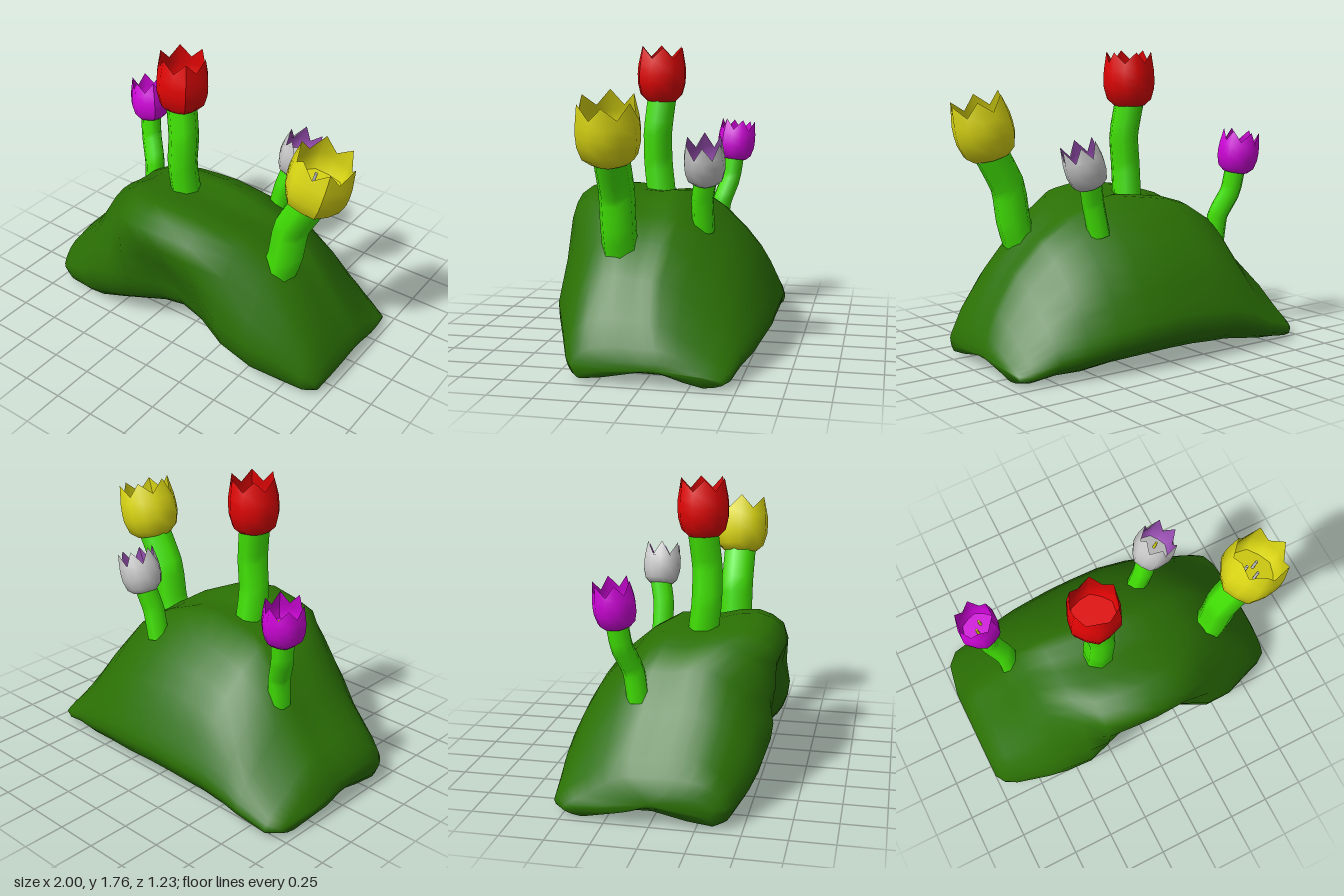
import * as THREE from 'three';

const mat = (name, color, side = THREE.FrontSide) => {
  const m = new THREE.MeshStandardMaterial({ color, side });
  m.name = name;
  return m;
};

function add(parent, name, geometry, material) {
  const mesh = new THREE.Mesh(geometry, material);
  mesh.name = name;
  parent.add(mesh);
  return mesh;
}

// Mound: cross-sections along x, each described by a few depths and heights
function moundGeometry() {
  // x, top, bottom, front z (low, middle, upper), back z (upper, low)
  const sections = [
    [-1.0, 0.19, 0.07, 0.27, 0.35, 0.28, -0.05, -0.27],
    [-0.96, 0.27, 0.01, 0.34, 0.41, 0.32, -0.16, -0.49],
    [-0.89, 0.36, 0.0, 0.38, 0.45, 0.34, -0.18, -0.56],
    [-0.70, 0.56, 0.02, 0.40, 0.52, 0.37, -0.16, -0.58],
    [-0.58, 0.76, 0.04, 0.41, 0.56, 0.39, -0.14, -0.59],
    [-0.42, 0.87, 0.065, 0.36, 0.59, 0.48, -0.11, -0.60],
    [-0.30, 0.91, 0.07, 0.31, 0.56, 0.57, -0.09, -0.605],
    [-0.16, 0.93, 0.08, 0.28, 0.48, 0.60, -0.07, -0.61],
    [0.00, 0.95, 0.08, 0.26, 0.47, 0.615, -0.05, -0.61],
    [0.20, 0.92, 0.075, 0.28, 0.52, 0.59, -0.06, -0.61],
    [0.40, 0.84, 0.06, 0.36, 0.595, 0.48, -0.08, -0.585],
    [0.58, 0.72, 0.03, 0.40, 0.57, 0.39, -0.08, -0.55],
    [0.74, 0.54, 0.02, 0.40, 0.50, 0.37, -0.06, -0.505],
    [0.88, 0.33, 0.0, 0.38, 0.44, 0.35, -0.08, -0.47],
    [0.95, 0.20, 0.01, 0.34, 0.39, 0.31, -0.12, -0.435],
    [0.975, 0.13, 0.06, 0.22, 0.26, 0.20, -0.14, -0.34],
  ];
  const N = 30, pos = [], index = [];
  const mid = THREE.MathUtils.lerp;
  for (const [x, T, B, f0, f1, f2, k2, k1] of sections) {
    const H = T - B;
    const lip = 0.01 + 0.05 * Math.max(0, 1 - 1.6 * Math.abs(x));
    const saddle = 0.04 * Math.max(0, 1 - 1.2 * Math.abs(x));
    const loop = [
      [f0, B + lip], [mid(f0, f1, 0.7), B + lip + 0.14 * H], [f1, B + 0.44 * H], [f2, B + 0.87 * H],
      [f2 - 0.17, T], [mid(f2, k2, 0.7), T - 0.015 * H - saddle], [k2, T - 0.05 * H],
      [mid(k2, k1, 0.63), B + (0.64 - 0.17 * x * x) * H], [k1 + 0.04, B + 0.31 * H], [k1, B + 0.14 * H],
      [k1 + 0.11, B], [mid(f0, k1, 0.5), B + Math.min(0.075, 0.35 * H)],
    ].map(([z, y]) => new THREE.Vector3(x, y, z));
    const curve = new THREE.CatmullRomCurve3(loop, true);
    for (let j = 0; j < N; j++) {
      const p = curve.getPoint(j / N);
      pos.push(p.x, Math.max(p.y, 0), p.z);
    }
  }
  const last = sections.length - 1;
  for (let i = 0; i < last; i++) {
    for (let j = 0; j < N; j++) {
      const a = i * N + j, b = i * N + (j + 1) % N, c = a + N, d = b + N;
      index.push(a, c, b, b, c, d);
    }
  }
  // End caps
  for (const i of [0, last]) {
    const [x, T, B, f0, , , , k1] = sections[i];
    const centre = pos.length / 3;
    pos.push(x, (T + B) / 2, (f0 + k1) / 2);
    for (let j = 0; j < N; j++) {
      const a = i * N + j, b = i * N + (j + 1) % N;
      if (i === 0) index.push(centre, a, b);
      else index.push(centre, b, a);
    }
  }
  const g = new THREE.BufferGeometry();
  g.setAttribute('position', new THREE.Float32BufferAttribute(pos, 3));
  g.setIndex(index);
  g.computeVertexNormals();
  return g;
}

// Six-sided cup whose rim rises to a tip at each corner
function cupGeometry(profile, r, h, toothDepth) {
  const pts = profile.map(([x, y]) => new THREE.Vector2(x * r, y * h));
  const g = new THREE.LatheGeometry(pts, 12);
  const p = g.attributes.position, n = pts.length;
  for (let i = 1; i < 12; i += 2) {
    for (let j = 0; j < n; j++) {
      const k = i * n + j;
      p.setXYZ(k, p.getX(k) * 0.93, p.getY(k) - (j === n - 1 ? toothDepth * h : 0), p.getZ(k) * 0.93);
    }
  }
  g.computeVertexNormals();
  return g;
}

const OUTER = [[0, 0], [0.6, 0.01], [0.87, 0.13], [0.99, 0.34], [1, 0.5], [0.98, 0.66], [0.87, 1]];
const INNER = [[0.82, 0.35], [0.92, 0.5], [0.92, 0.66], [0.865, 1]];

export function createModel() {
  const group = new THREE.Group();
  const mossGreen = mat('moss green', 0x2b7004);
  const stemGreen = mat('stem green', 0x42e404);
  const colours = {
    red: mat('red', 0xe20404, THREE.DoubleSide),
    yellow: mat('yellow', 0xdcd814, THREE.DoubleSide),
    magenta: mat('magenta', 0xd004da, THREE.DoubleSide),
    white: mat('pale grey', 0xc8c8c8, THREE.DoubleSide),
    purple: mat('purple', 0x9a50b4, THREE.DoubleSide),
  };

  add(group, 'mound', moundGeometry(), mossGreen);

  const flowers = [
    { name: 'red', lining: 'red', stamens: 0, r: 0.158, h: 0.33, tooth: 0.2, stemR: 0.091, axis: [0.03, 1, -0.03], spin: 0.25,
      stem: [[-0.145, 0.8, 0.13], [-0.155, 1.05, 0.16], [-0.14, 1.25, 0.16], [-0.168, 1.45, 0.14]] },
    { name: 'yellow', lining: 'yellow', stamen: 'white', stamens: 3, r: 0.186, h: 0.355, tooth: 0.22, stemR: 0.103, axis: [0.28, 1, 0], spin: 0.1,
      stem: [[0.55, 0.58, 0.21], [0.612, 0.77, 0.21], [0.645, 0.98, 0.21], [0.753, 1.18, 0.21]] },
    { name: 'magenta', lining: 'magenta', stamen: 'yellow', stamens: 2, r: 0.125, h: 0.26, tooth: 0.25, stemR: 0.064, axis: [-0.1, 1, -0.1], spin: 0.4,
      stem: [[-0.625, 0.58, -0.14], [-0.635, 0.75, -0.16], [-0.695, 0.9, -0.21], [-0.712, 1.04, -0.23]] },
    { name: 'white', lining: 'purple', stamen: 'yellow', stamens: 1, r: 0.125, h: 0.26, tooth: 0.32, stemR: 0.066, axis: [0.36, 1, 0], spin: 0.1,
      stem: [[0.29, 0.72, -0.21], [0.33, 0.9, -0.21], [0.365, 1.03, -0.235]] },
  ];

  for (const f of flowers) {
    const flower = new THREE.Group();
    flower.name = f.name + 'Flower';
    const pts = f.stem.map((p) => new THREE.Vector3(...p));
    const curve = new THREE.CatmullRomCurve3(pts, false, 'catmullrom', 0.2);
    add(flower, 'stem', new THREE.TubeGeometry(curve, 9, f.stemR, 7), stemGreen);

    // Blossom sits on the stem tip and leans along its axis
    const head = new THREE.Group();
    head.name = 'blossom';
    head.position.copy(pts[pts.length - 1]).y -= 0.02;
    head.quaternion.setFromUnitVectors(new THREE.Vector3(0, 1, 0), new THREE.Vector3(...f.axis).normalize());
    const petals = new THREE.Group();
    petals.name = 'petals';
    petals.rotation.y = f.spin + Math.PI / 6;
    head.add(petals);
    add(petals, 'outerPetals', cupGeometry(OUTER, f.r, f.h, f.tooth), colours[f.name]);
    add(petals, 'petalLining', cupGeometry(INNER, f.r, f.h, f.tooth), colours[f.lining]);
    const floor = add(petals, 'cupFloor', new THREE.CircleGeometry(f.r * 0.85, 12), colours[f.name]);
    floor.rotation.x = -Math.PI / 2;
    floor.position.y = f.h * 0.36;

    // Stamens
    for (let i = 0; i < f.stamens; i++) {
      const a = (i / f.stamens) * Math.PI * 2;
      const s = add(petals, 'stamen', new THREE.CylinderGeometry(0.009, 0.009, f.h * 0.2, 5), colours[f.stamen]);
      s.position.set(Math.cos(a) * f.r * 0.22, f.h * 0.45, Math.sin(a) * f.r * 0.22);
    }
    flower.add(head);
    group.add(flower);
  }
  return group;
}
